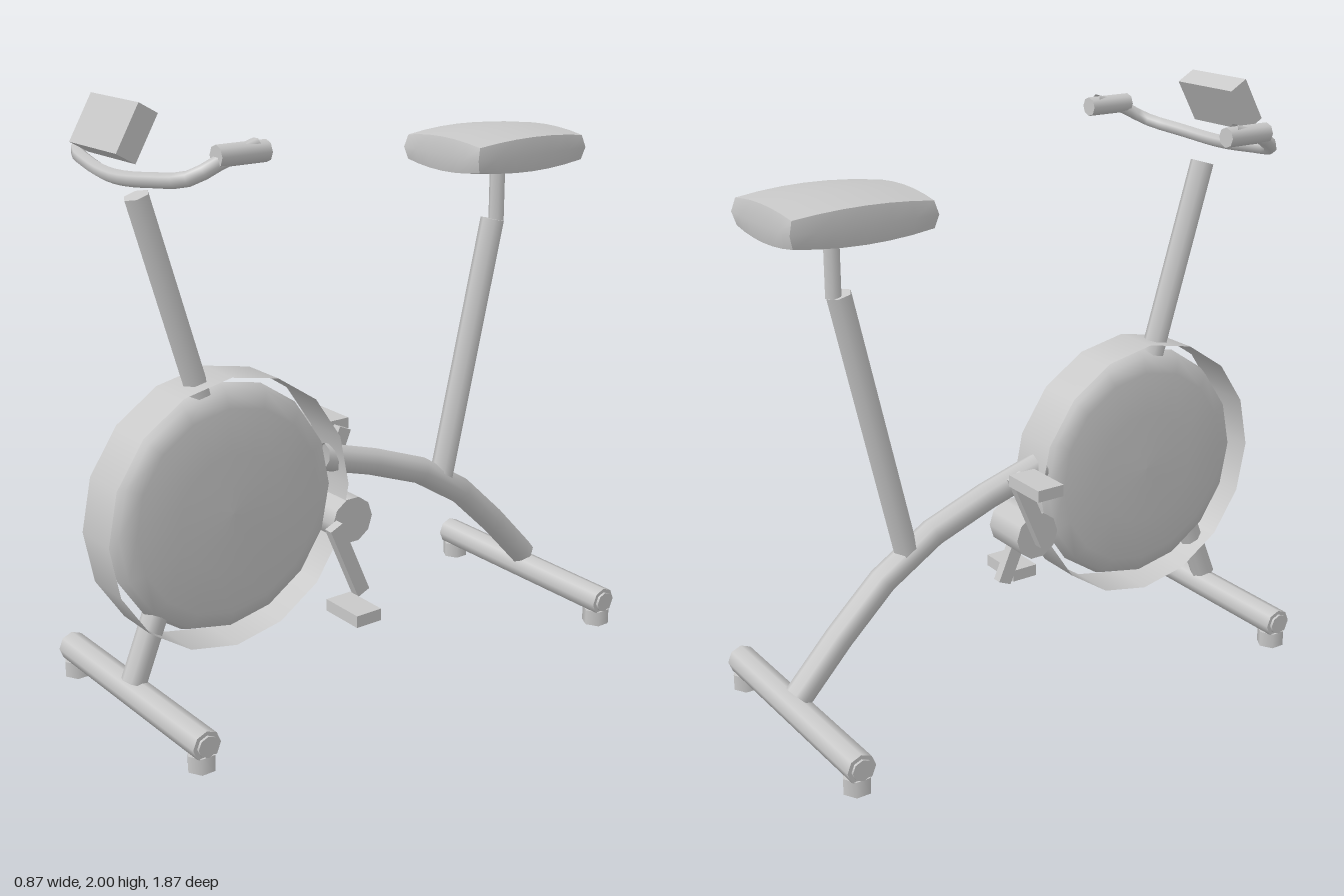
import * as THREE from 'three';

const V = (x, y, z) => new THREE.Vector3(x, y, z);

export function createModel() {
  const bike = new THREE.Group();
  bike.name = 'exerciseBike';
  const grey = new THREE.MeshStandardMaterial({ color: 0xc8c8c8, side: THREE.DoubleSide });
  grey.name = 'light grey';

  const add = (name, geometry, x = 0, y = 0, z = 0) => {
    const mesh = new THREE.Mesh(geometry, grey);
    mesh.name = name;
    mesh.position.set(x, y, z);
    bike.add(mesh);
    return mesh;
  };
  // straight rod between two points
  const rod = (name, a, b, r, sides = 6) => {
    const dir = b.clone().sub(a);
    const mid = a.clone().add(b).multiplyScalar(0.5);
    const mesh = add(name, new THREE.CylinderGeometry(r, r, dir.length(), sides), mid.x, mid.y, mid.z);
    mesh.quaternion.setFromUnitVectors(V(0, 1, 0), dir.normalize());
    return mesh;
  };
  const tube = (name, points, segments, r, sides) =>
    add(name, new THREE.TubeGeometry(new THREE.CatmullRomCurve3(points), segments, r, sides));
  const box = (name, w, h, d, x, y, z, tilt = 0) => {
    add(name, new THREE.BoxGeometry(w, h, d), x, y, z).rotation.x = tilt;
  };

  // flywheel: domed disc inside an open band
  const profile = [[0, -0.078], [0.2, -0.074], [0.35, -0.064], [0.405, -0.045], [0.423, 0],
    [0.405, 0.045], [0.35, 0.064], [0.2, 0.074], [0, 0.078]].map(([r, h]) => new THREE.Vector2(r, h));
  add('flywheelDisc', new THREE.LatheGeometry(profile, 16), 0, 0.653, 0.476).rotation.z = Math.PI / 2;
  const band = new THREE.CylinderGeometry(0.46, 0.46, 0.165, 16, 1, true);
  add('flywheelBand', band, 0, 0.65, 0.476).rotation.z = Math.PI / 2;

  // frame
  tube('mainTube', [V(0, 0.735, 0.07), V(0, 0.65, -0.206), V(0, 0.537, -0.466),
    V(0, 0.362, -0.672), V(0, 0.14, -0.882)], 5, 0.048, 8);
  rod('handlebarColumn', V(0, 1.02, 0.54), V(0, 1.705, 0.748), 0.042);
  rod('seatTube', V(0, 0.53, -0.463), V(0, 1.457, -0.68), 0.043);
  rod('seatStem', V(0, 1.45, -0.698), V(0, 1.68, -0.698), 0.028);
  rod('frontLeg', V(0, 0.13, 0.822), V(0, 0.40, 0.712), 0.043, 8);

  // floor bars with end caps and pads
  for (const [side, z] of [['front', 0.817], ['rear', -0.886]]) {
    rod(side + 'FloorBar', V(-0.425, 0.09, z), V(0.425, 0.09, z), 0.05, 8);
    rod(side + 'BarCaps', V(-0.434, 0.09, z), V(0.434, 0.09, z), 0.036, 8);
    for (const x of [-0.39, 0.39])
      add(side + 'FootPad', new THREE.CylinderGeometry(0.048, 0.048, 0.055, 6), x, 0.0275, z);
  }

  // seat: box with every face bulged outwards
  const seat = new THREE.BoxGeometry(0.37, 0.08, 0.47, 6, 2, 6);
  const p = seat.attributes.position;
  for (let i = 0; i < p.count; i++) {
    const u = p.getX(i) / 0.185, v = p.getY(i) / 0.04, w = p.getZ(i) / 0.235;
    const q = (t) => 1 - t * t;
    p.setXYZ(i,
      u * (0.185 + 0.008 * q(w) + 0.008 * q(v)),
      v * (0.042 + 0.016 * q(u) + 0.016 * q(w)),
      w * (0.235 + 0.004 * q(u) + 0.012 * q(v)));
  }
  seat.computeVertexNormals();
  add('seat', seat, 0, 1.71, -0.682);

  // handlebar, grips and console
  const half = [[0.365, 1.885, 0.56], [0.365, 1.85, 0.68], [0.325, 1.805, 0.76], [0.18, 1.783, 0.802]];
  tube('handlebar', [...half.map(([x, y, z]) => V(-x, y, z)), V(0, 1.77, 0.818),
    ...half.reverse().map(([x, y, z]) => V(x, y, z))], 24, 0.023, 6);
  for (const s of [-1, 1]) rod('grip', V(s * 0.365, 1.865, 0.53), V(s * 0.365, 1.865, 0.70), 0.033, 8);
  box('console', 0.275, 0.16, 0.072, 0, 1.912, 0.817, -0.52);

  // crank hub, arms and pedals
  rod('crankHub', V(-0.085, 0.515, 0), V(0.085, 0.515, 0), 0.083, 10);
  box('leftCrankArm', 0.034, 0.29, 0.052, 0.121, 0.397, 0.05, 0.41);
  box('rightCrankArm', 0.034, 0.29, 0.052, -0.121, 0.637, -0.055, -0.41);
  box('leftPedal', 0.168, 0.042, 0.1, 0.221, 0.262, 0.1);
  box('rightPedal', 0.168, 0.04, 0.1, -0.224, 0.772, -0.103);

  return bike;
}
